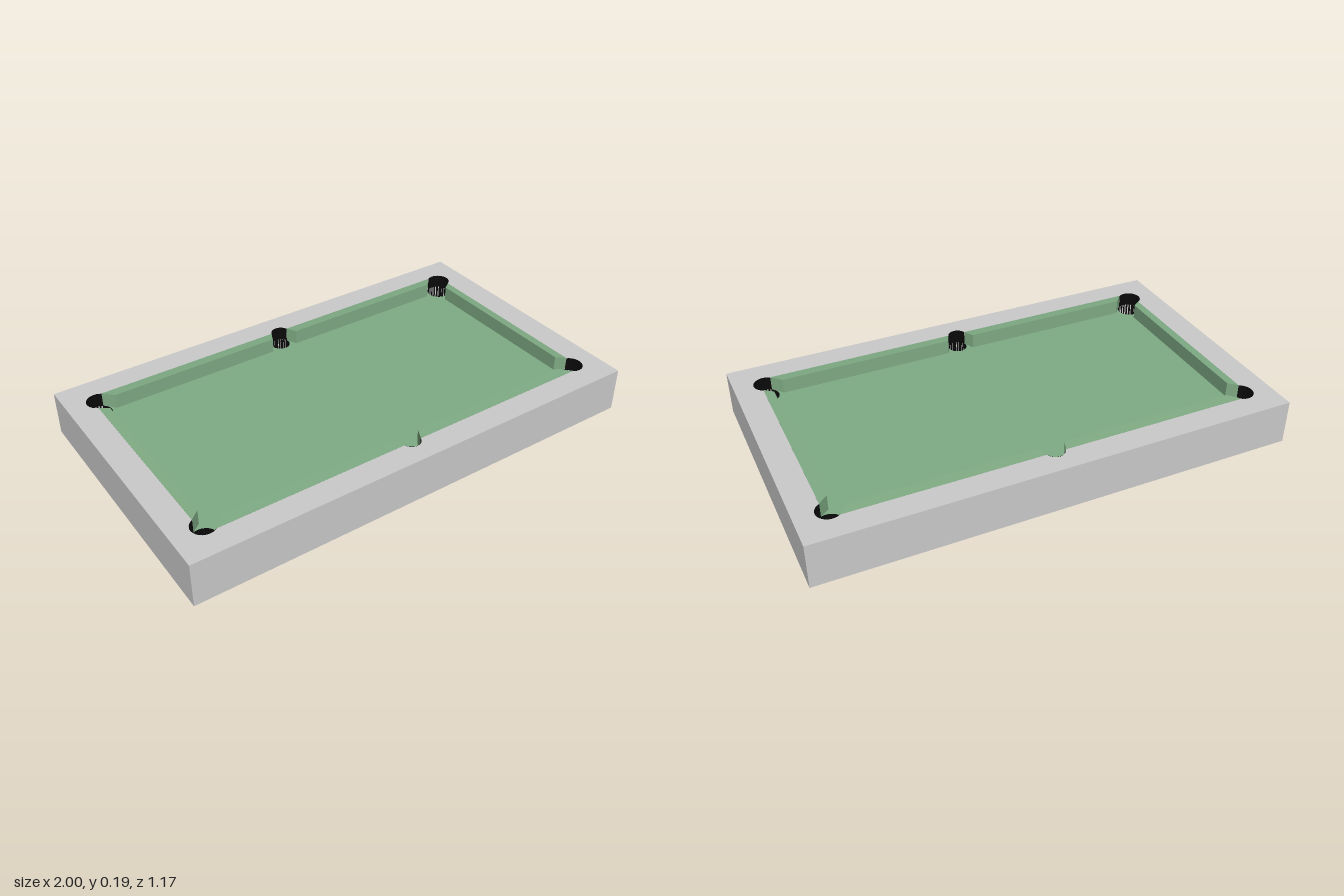
import * as THREE from 'three';

const TOP = 0.19, BED = 0.13, FLOOR = 0.07; // heights
const HX = 0.89, HZ = 0.48;                 // half size of the playing recess
const deg = Math.PI / 180;

const material = (color, side = THREE.FrontSide) =>
  new THREE.MeshStandardMaterial({ color, side, flatShading: true });

// Three pockets of one long side; a0..a1 is the arc cut into the rail
const a = Math.atan2(-0.046, 0.02) / deg, b = Math.atan2(0.04, -0.03) / deg, c = 14.5;
const halfPockets = [
  { x: 0.87, y: 0.44, r: 0.05, a0: a, a1: b },
  { x: 0, y: 0.47, r: 0.04, a0: c, a1: 180 - c },
  { x: -0.87, y: 0.44, r: 0.05, a0: 180 - b, a1: 180 - a },
];
// The other long side is the same, turned half a circle
const pockets = [
  ...halfPockets,
  ...halfPockets.map((p) => ({ x: -p.x, y: -p.y, r: p.r, a0: p.a0 + 180, a1: p.a1 + 180 })),
];

// Recess outline: arcs bulge into the rail, or (inward) bite into the bed
function outline(inward) {
  const pts = [];
  for (const p of pockets) {
    const end = inward ? p.a1 - 360 : p.a1;
    for (let i = 0; i <= 14; i++) {
      const t = (p.a0 + (end - p.a0) * i / 14) * deg;
      pts.push(new THREE.Vector2(p.x + p.r * Math.cos(t), p.y + p.r * Math.sin(t)));
    }
  }
  return pts;
}

// Upright prism from a plan shape
function prism(shape, y0, y1) {
  return new THREE.ExtrudeGeometry(shape, { depth: y1 - y0, bevelEnabled: false })
    .rotateX(-Math.PI / 2).translate(0, y0, 0);
}

export function createModel() {
  const group = new THREE.Group();
  const grey = material(0xcccccc);
  const green = material(0x7fab84);
  const black = material(0x0a0a0a, THREE.DoubleSide);
  const add = (name, geometry, mat, parent = group) => {
    const mesh = new THREE.Mesh(geometry, mat);
    mesh.name = name;
    parent.add(mesh);
    return mesh;
  };

  // Cabinet: frame with the recess cut out, closed underneath
  const frame = new THREE.Shape([[-1, -0.585], [1, -0.585], [1, 0.585], [-1, 0.585]]
    .map(([x, y]) => new THREE.Vector2(x, y)));
  frame.holes.push(new THREE.Path(outline(false)));
  add('frame', prism(frame, 0.001, TOP), grey);
  add('bottomPanel', new THREE.BoxGeometry(2, 0.002, 1.17).translate(0, 0.001, 0), grey);

  // Cloth bed with pocket cut-outs
  add('bed', new THREE.ShapeGeometry(new THREE.Shape(outline(true)))
    .rotateX(-Math.PI / 2).translate(0, BED, 0), green);

  // Cushions: the nose stands slightly above the rail
  const cushions = new THREE.Group();
  cushions.name = 'cushions';
  group.add(cushions);
  const cushion = (name, points) => {
    const geo = prism(new THREE.Shape(points.map(([x, y]) => new THREE.Vector2(x, y))), BED, TOP);
    const pos = geo.attributes.position;
    for (let i = 0; i < pos.count; i++) {
      const atNose = Math.abs(pos.getX(i)) < 0.87 && Math.abs(pos.getZ(i)) < 0.45;
      if (pos.getY(i) > TOP - 0.01) pos.setY(i, TOP + (atNose ? 0.003 : 0.0005));
    }
    geo.computeVertexNormals();
    add(name, geo, green, cushions);
  };
  for (const s of [1, -1]) {
    for (const t of [1, -1]) {
      cushion('longCushion', [[0.06, 0.435], [0.8, 0.435], [0.84, HZ], [0.039, HZ]]
        .map(([x, y]) => [s * x, t * y]));
    }
    cushion('shortCushion', [[0.853, -0.365], [HX, -0.394], [HX, 0.394], [0.853, 0.365]]
      .map(([x, y]) => [s * x, y]));
  }

  // Pockets: wall along the rail, sleeve below the bed, and floor
  for (const p of pockets) {
    const pocket = new THREE.Group();
    pocket.name = 'pocket';
    pocket.position.set(p.x, 0, -p.y);
    group.add(pocket);
    const r = p.r - 0.001;
    add('pocketWall', new THREE.CylinderGeometry(r, r, TOP - BED, 14, 1, true,
      p.a0 * deg + Math.PI / 2, (p.a1 - p.a0) * deg).translate(0, (TOP + BED) / 2, 0), black, pocket);
    add('pocketSleeve', new THREE.CylinderGeometry(p.r, p.r, BED - FLOOR, 24, 1, true)
      .translate(0, (BED + FLOOR) / 2, 0), black, pocket);
    add('pocketFloor', new THREE.CircleGeometry(p.r, 24)
      .rotateX(-Math.PI / 2).translate(0, FLOOR, 0), black, pocket);
  }
  return group;
}
